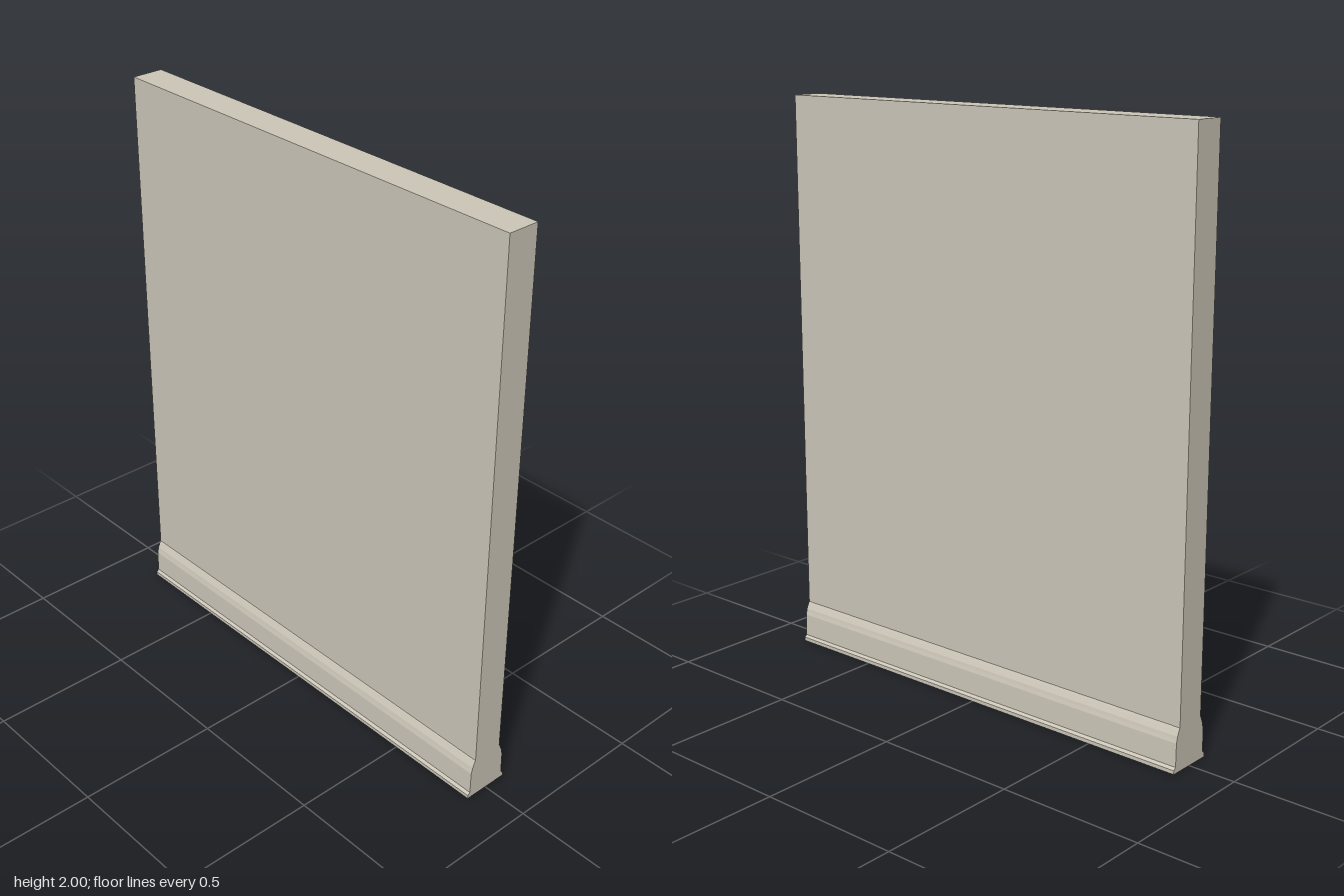
import * as THREE from 'three';

const WIDTH = 1.666, HEIGHT = 2, HALF_THICKNESS = 0.056;

// Skirting cross-section: [distance from wall centre, height]
const PROFILE = [
  [HALF_THICKNESS, 0], [0.083, 0], [0.083, 0.013], [0.074, 0.021], [0.073, 0.1],
  [0.07, 0.112], [0.068, 0.122], [0.062, 0.136], [0.058, 0.145], [HALF_THICKNESS, 0.147],
];

export function createModel() {
  const group = new THREE.Group();
  const plaster = new THREE.MeshStandardMaterial({ color: 0xcdc7b9 });
  plaster.name = 'warm plaster';

  // Plain wall slab
  const wall = new THREE.Mesh(new THREE.BoxGeometry(WIDTH, HEIGHT, HALF_THICKNESS * 2), plaster);
  wall.name = 'wall';
  wall.position.y = HEIGHT / 2;
  group.add(wall);

  // Moulded skirting board along both faces
  const shape = new THREE.Shape(PROFILE.map(([d, y]) => new THREE.Vector2(d, y)));
  for (const [name, side] of [['frontSkirting', 1], ['backSkirting', -1]]) {
    const geometry = new THREE.ExtrudeGeometry(shape, { depth: WIDTH, bevelEnabled: false });
    geometry.translate(0, 0, -WIDTH / 2);
    geometry.rotateY(-side * Math.PI / 2);
    const skirting = new THREE.Mesh(geometry, plaster);
    skirting.name = name;
    group.add(skirting);
  }
  return group;
}
